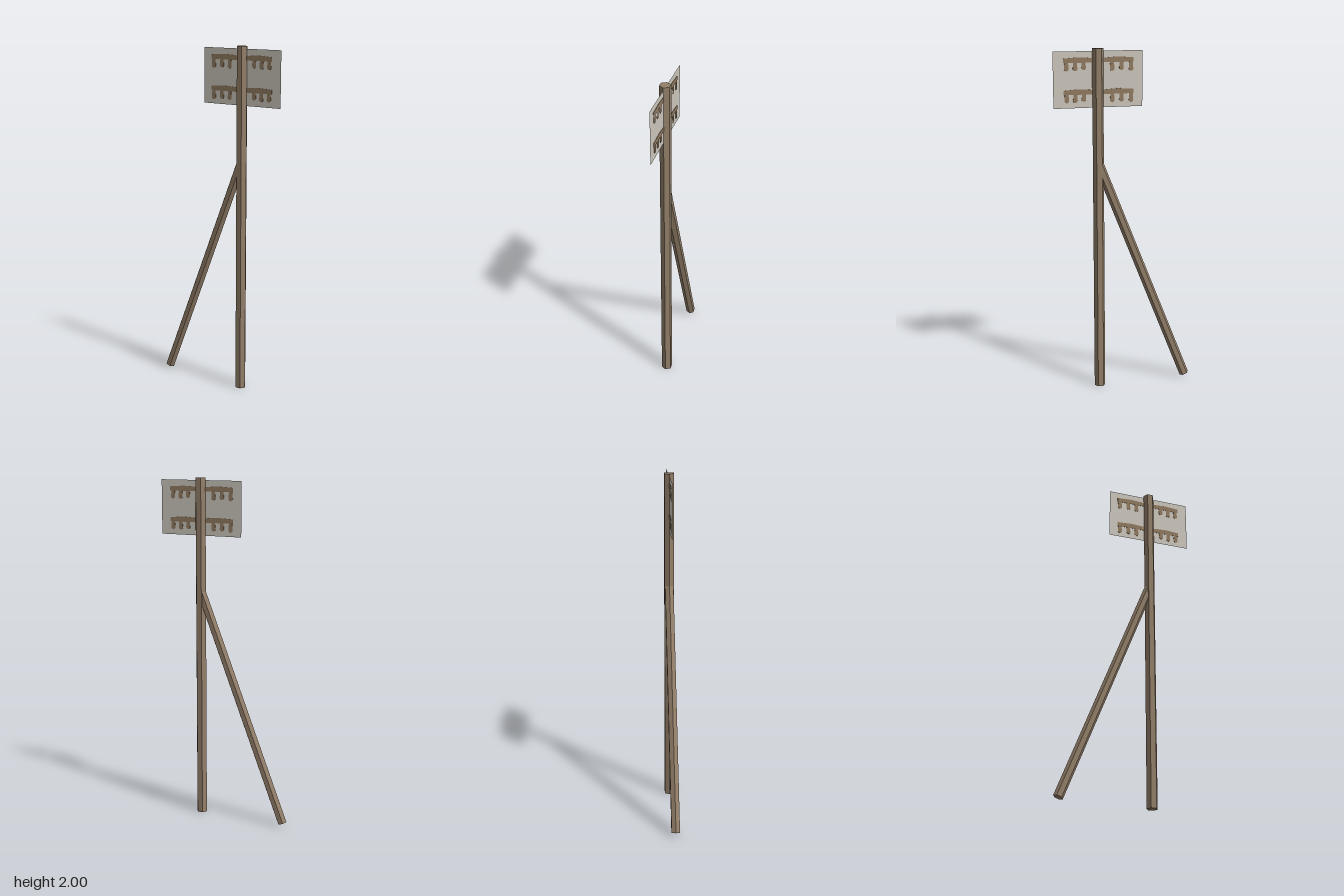
import * as THREE from 'three';

const wood = new THREE.MeshStandardMaterial({ color: 0x937f69 });
wood.name = 'wood';
wood.flatShading = true;
const board = new THREE.MeshStandardMaterial({ color: 0xcfcabf, side: THREE.DoubleSide });
board.name = 'pale board';
const paint = new THREE.MeshStandardMaterial({ color: 0x937c61 });
paint.name = 'brown paint';

const POLE_X = 0.15;

// Six-sided timber between two points, corners pointing along x
function timber(name, from, to, radius) {
  const dir = to.clone().sub(from);
  const geo = new THREE.CylinderGeometry(radius, radius, dir.length(), 6);
  geo.rotateY(Math.PI / 6);
  const mesh = new THREE.Mesh(geo, wood);
  mesh.name = name;
  mesh.position.copy(from).add(to).multiplyScalar(0.5);
  mesh.quaternion.setFromUnitVectors(new THREE.Vector3(0, 1, 0), dir.normalize());
  return mesh;
}

// Painted bar from x0 to x1 with round-ended drips [x, length] hanging below
function drippingBar(x0, x1, top, drips) {
  const thick = 0.03, r = 0.013;
  const low = top - thick;
  const s = new THREE.Shape();
  s.moveTo(x0, low);
  for (const [x, length] of drips) {
    const tip = top - length + r;
    s.lineTo(x - r * 0.8, low);
    s.lineTo(x - r, tip);
    s.absarc(x, tip, r, Math.PI, Math.PI * 2, false);
    s.lineTo(x + r * 0.8, low);
  }
  s.lineTo(x1, low);
  s.lineTo(x1, top - 0.006);
  s.lineTo((x0 + x1) / 2, top);
  s.lineTo(x0, top - 0.006);
  s.closePath();
  const geo = new THREE.ExtrudeGeometry(s, { depth: 0.004, bevelEnabled: false, curveSegments: 6 });
  geo.translate(0, 0, -0.002);
  const mesh = new THREE.Mesh(geo, paint);
  mesh.name = 'paintedMark';
  return mesh;
}

export function createModel() {
  const group = new THREE.Group();
  group.name = 'signpost';

  // Upright and slanting support
  group.add(timber('post', new THREE.Vector3(POLE_X, 0, 0), new THREE.Vector3(POLE_X, 2, 0), 0.032));
  group.add(timber('brace', new THREE.Vector3(-0.379, 0.018, 0), new THREE.Vector3(0.147, 1.35, 0), 0.028));

  // Thin sign through the post
  const sign = new THREE.Mesh(new THREE.PlaneGeometry(0.508, 0.312), board);
  sign.name = 'signBoard';
  sign.position.set(0.148, 1.83, 0);
  group.add(sign);

  // Two rows of dripping marks on either side of the post
  const marks = new THREE.Group();
  marks.name = 'paintedMarks';
  for (const top of [1.953, 1.778]) {
    marks.add(drippingBar(-0.055, 0.13, top, [[-0.04, 0.08], [0.015, 0.075], [0.068, 0.078]]));
    marks.add(drippingBar(0.17, 0.345, top, [[0.23, 0.07], [0.278, 0.075], [0.327, 0.075]]));
  }
  group.add(marks);
  return group;
}
